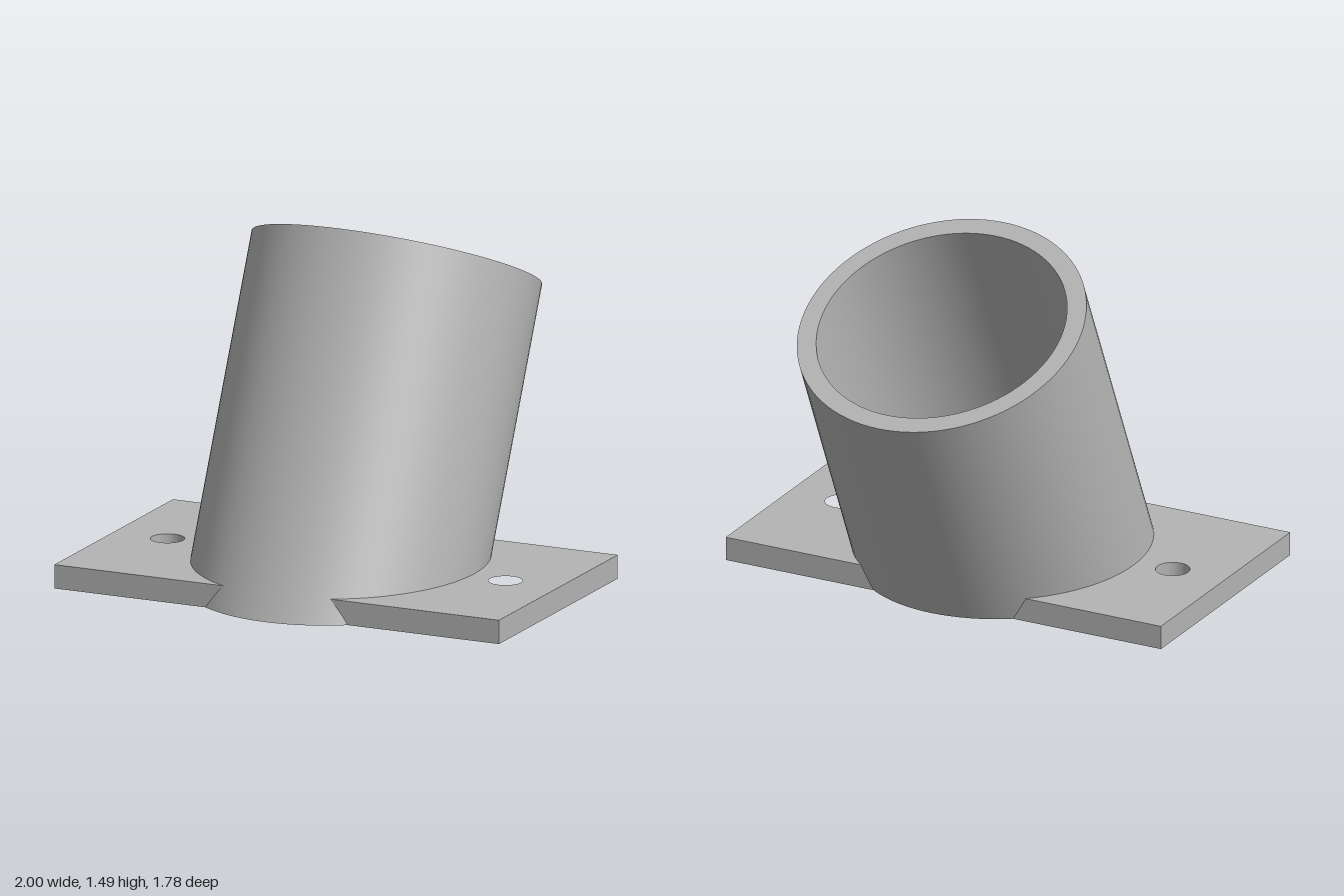
import * as THREE from 'three';
import { toCreasedNormals } from 'three/addons/utils/BufferGeometryUtils.js';

const TILT = THREE.MathUtils.degToRad(25);
const OUTER = 0.6, INNER = 0.52, LENGTH = 1.36; // tube, measured along its axis
const CENTRE_Z = 0.23;                          // where the tube axis meets the ground
const THICK = 0.1, BACK = -0.33, FRONT = 0.79;  // base plate

// Half width of the tilted tube's outer surface at a given depth and height
function tubeEdge(z, y) {
  const dz = (z - CENTRE_Z + y * Math.tan(TILT)) * Math.cos(TILT);
  return Math.sqrt(Math.max(0, (OUTER - 0.002) ** 2 - dz * dz));
}

// Hollow tube: square cut at the top, cut level with the ground at the bottom
function tubeGeometry() {
  const profile = [[OUTER, 0], [OUTER, LENGTH], [INNER, LENGTH], [INNER, 0], [OUTER, 0]]
    .map(([r, y]) => new THREE.Vector2(r, y));
  const geo = new THREE.LatheGeometry(profile, 96);
  const pos = geo.attributes.position;
  for (let i = 0; i < pos.count; i++) {
    if (pos.getY(i) < 0.01) pos.setY(i, -pos.getZ(i) * Math.tan(TILT));
  }
  geo.rotateX(-TILT).translate(0, 0, CENTRE_Z);
  return toCreasedNormals(geo, 0.6);
}

// Flange on one side (+1 left, -1 right), its inner edge following the tube
function flangeGeometry(side) {
  const steps = 40;
  const shape = new THREE.Shape();
  shape.moveTo(side, -BACK);
  shape.lineTo(side, -FRONT);
  for (let i = 0; i <= steps; i++) {
    const z = THREE.MathUtils.lerp(FRONT, BACK, i / steps);
    shape.lineTo(side * tubeEdge(z, THICK / 2), -z);
  }
  shape.closePath();
  const hole = new THREE.Path();
  hole.absarc(side * 0.76, -0.225, 0.07, 0, Math.PI * 2, true);
  shape.holes.push(hole);

  const geo = new THREE.ExtrudeGeometry(shape, { depth: THICK, bevelEnabled: false, curveSegments: 32 });
  geo.rotateX(-Math.PI / 2);
  // Lean the inner edge along with the tube
  const pos = geo.attributes.position;
  for (let i = 0; i < pos.count; i++) {
    if (Math.abs(pos.getX(i)) < 0.65) pos.setX(i, side * tubeEdge(pos.getZ(i), pos.getY(i)));
  }
  return toCreasedNormals(geo, 0.6);
}

export function createModel() {
  const model = new THREE.Group();
  model.name = 'angledTubeMount';
  const grey = new THREE.MeshStandardMaterial({ color: 0xb4b4b4 });
  grey.name = 'grey';

  const add = (name, geo) => {
    const mesh = new THREE.Mesh(geo, grey);
    mesh.name = name;
    model.add(mesh);
  };
  add('tube', tubeGeometry());
  add('leftFlange', flangeGeometry(1));
  add('rightFlange', flangeGeometry(-1));
  return model;
}
